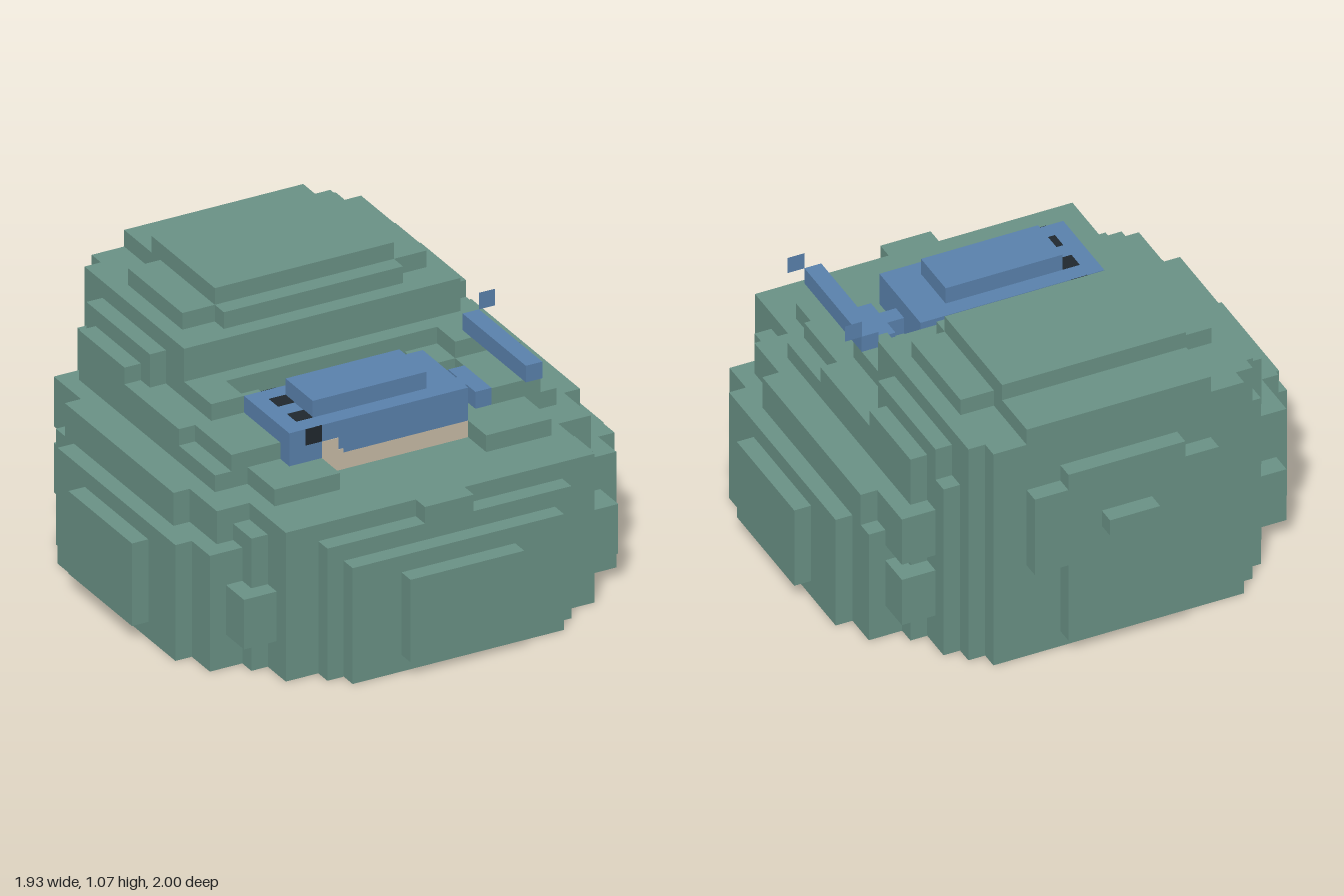
import * as THREE from 'three';

export function createModel() {
  const model = new THREE.Group();
  const mat = (name, color) => {
    const m = new THREE.MeshStandardMaterial({ color });
    m.name = name;
    return m;
  };
  const green = mat('mossy green', 0x6a9286);
  const blue = mat('fish blue', 0x5a82ad);
  const cream = mat('belly cream', 0xc8bca6);
  const black = mat('eye black', 0x20282e);

  // Box given by its limits on each axis
  const box = (parent, name, material, x0, x1, y0, y1, z0, z1) => {
    const mesh = new THREE.Mesh(new THREE.BoxGeometry(x1 - x0, y1 - y0, z1 - z0), material);
    mesh.position.set((x0 + x1) / 2, (y0 + y1) / 2, (z0 + z1) / 2);
    mesh.name = name;
    parent.add(mesh);
    return mesh;
  };
  const group = (name) => {
    const g = new THREE.Group();
    g.name = name;
    model.add(g);
    return g;
  };

  // Rock base: overlapping slabs [half width, bottom, top, back, front]
  const base = group('rockBase');
  [
    [0.633, 0, 0.6, -0.733, 0.8],
    [0.1, 0.5, 0.6, -0.7, 0.867],
    [0.5, 0, 0.533, -0.867, 0.867],
    [0.433, 0, 0.467, -0.8, 0.933],
    [0.233, 0.067, 0.4, -0.8, 1.0],
    [0.7, 0, 0.533, -0.6, 0.667],
    [0.767, 0, 0.6, -0.533, 0.533],
    [0.833, 0, 0.467, -0.533, 0.6],
    [0.833, 0.467, 0.6, -0.467, 0.333],
    [0.9, 0, 0.467, -0.4, 0.467],
    [0.967, 0.067, 0.4, -0.2, 0.267],
  ].forEach(([w, y0, y1, z0, z1]) => box(base, 'baseSlab', green, -w, w, y0, y1, z0, z1));

  // Raised hill at the back
  const hill = group('rockHill');
  [
    [0.7, 0.6, 0.8, -0.6, -0.267],
    [0.633, 0, 0.867, -0.667, -0.2],
    [0.633, 0, 0.733, -0.733, -0.2],
    [0.567, 0, 0.933, -0.8, -0.067],
    [0.5, 0, 0.933, -0.867, -0.067],
    [0.5, 0.6, 0.8, -0.2, 0],
    [0.5, 0.9, 1.0, -0.6, -0.2],
    [0.367, 0.9, 1.0, -0.867, -0.133],
    [0.367, 0.95, 1.067, -0.667, -0.2],
    [0.433, 0.6, 0.667, -0.2, 0.14],
  ].forEach(([w, y0, y1, z0, z1]) => box(hill, 'hillSlab', green, -w, w, y0, y1, z0, z1));
  box(hill, 'backPlateUpper', green, -0.367, 0.367, 0.4, 0.733, -0.933, -0.8);
  box(hill, 'backPlateLower', green, -0.233, 0.233, 0.067, 0.8, -0.933, -0.8);
  box(hill, 'backKnob', green, -0.1, 0.1, 0.533, 0.6, -1.0, -0.9);

  // Basin rim and corner knobs, mirrored: [inner x, outer x, bottom, top, back, front]
  const rim = group('basinRim');
  const sides = [
    [0.3, 0.567, 0.55, 0.667, -0.1, 0.6],
    [0.433, 0.7, 0.55, 0.667, -0.4, 0.4],
    [0.433, 0.633, 0.55, 0.733, -0.3, 0.4],
    [0.5, 0.7, 0.6, 0.733, -0.3, 0.133],
    [0.433, 0.567, 0.6, 0.8, -0.2, 0.133],
    [0.3, 0.433, 0.6, 0.733, -0.1, 0.133],
    [0.633, 0.767, 0.133, 0.333, 0.55, 0.733],
    [0.633, 0.767, 0.133, 0.333, -0.667, -0.5],
    [0.6, 0.767, 0.4, 0.6, -0.667, -0.5],
  ];
  for (const s of [-1, 1]) {
    for (const [a, b, y0, y1, z0, z1] of sides) {
      box(rim, 'rimBlock', green, Math.min(s * a, s * b), Math.max(s * a, s * b), y0, y1, z0, z1);
    }
  }

  // Fish resting in the basin
  const fish = group('fish');
  box(fish, 'belly', cream, -0.3, 0.3, 0.6, 0.667, 0.133, 0.467);
  box(fish, 'body', blue, -0.433, 0.3, 0.667, 0.8, 0.133, 0.467);
  box(fish, 'back', blue, -0.3, 0.167, 0.8, 0.867, 0.2, 0.4);
  box(fish, 'tailStem', blue, 0.3, 0.367, 0.667, 0.735, 0.267, 0.333);
  box(fish, 'tailRoot', blue, 0.367, 0.433, 0.667, 0.735, 0.2, 0.4);
  box(fish, 'fluke', blue, 0.5, 0.567, 0.8, 0.867, 0.067, 0.533);
  box(fish, 'nose', blue, -0.5, -0.433, 0.667, 0.672, 0.267, 0.333);
  box(fish, 'sideFin', blue, -0.1, -0.033, 0.667, 0.672, 0.067, 0.133);
  box(fish, 'throatPatch', cream, -0.3, -0.233, 0.667, 0.733, 0.465, 0.469);
  box(fish, 'throatPatchEdge', cream, -0.233, -0.213, 0.667, 0.685, 0.465, 0.469);

  // Eyes show on both the flanks and the top
  for (const [flank, z] of [[0.467, 0.367], [0.133, 0.233]]) {
    box(fish, 'eyeFlank', black, -0.367, -0.3, 0.735, 0.8, flank - 0.002, flank + 0.002);
    box(fish, 'eyeTop', black, -0.367, -0.3, 0.798, 0.802, z - 0.033, z + 0.033);
  }

  // Thin fluke tips; the far one faces both ways
  const tip = (z, turn) => {
    const mesh = new THREE.Mesh(new THREE.PlaneGeometry(0.067, 0.067), blue);
    mesh.position.set(0.6, 0.9, z);
    mesh.rotation.y = turn;
    mesh.name = 'flukeTip';
    fish.add(mesh);
  };
  tip(0.067, 0);
  tip(0.067, Math.PI);
  tip(0.533, Math.PI);

  return model;
}
